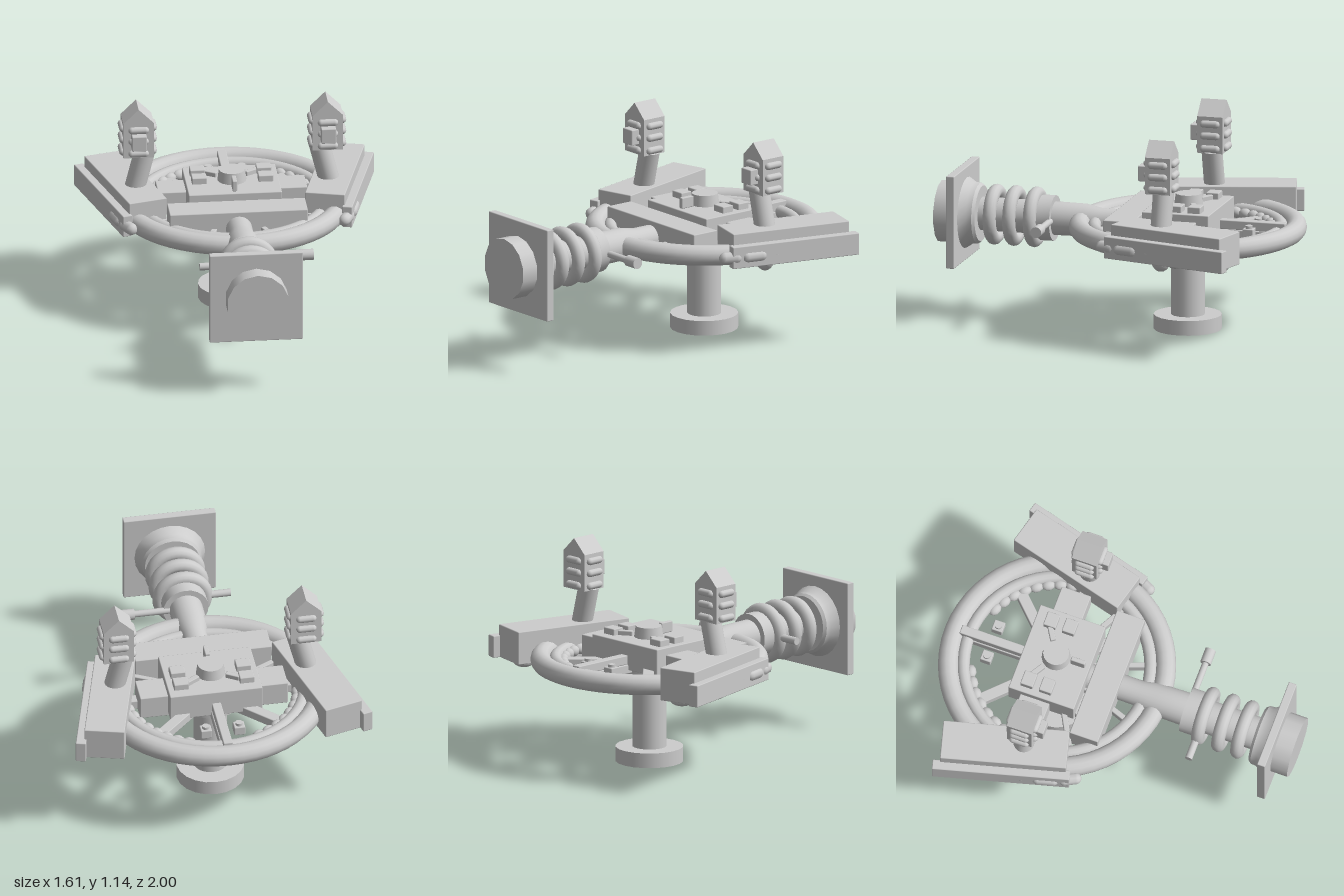
import * as THREE from 'three';
import { RoundedBoxGeometry } from 'three/addons/geometries/RoundedBoxGeometry.js';
import { toCreasedNormals } from 'three/addons/utils/BufferGeometryUtils.js';

const CY = 0.555; // height of the wheel plane and of the front pipe
const CZ = -0.365; // wheel centre

export function createModel() {
  const model = new THREE.Group();
  model.name = 'wheelStation';
  const metal = new THREE.MeshStandardMaterial({ color: 0xcccccc });
  metal.name = 'light grey metal';

  const add = (parent, name, geometry, x = 0, y = 0, z = 0) => {
    const mesh = new THREE.Mesh(geometry, metal);
    mesh.name = name;
    mesh.position.set(x, y, z);
    parent.add(mesh);
    return mesh;
  };
  const box = (w, h, d) => new RoundedBoxGeometry(w, h, d, 1, 0.005);
  const cyl = (r, h, sides = 24, r2 = r) => new THREE.CylinderGeometry(r2, r, h, sides);
  const capsule = (r, length) => new THREE.CapsuleGeometry(r, length, 4, 10);
  // Cylinder between two points
  const rod = (parent, name, a, b, r, sides = 16) => {
    const from = new THREE.Vector3(...a), dir = new THREE.Vector3(...b).sub(from);
    const mesh = add(parent, name, cyl(r, dir.length(), sides));
    mesh.position.copy(from).addScaledVector(dir, 0.5);
    mesh.quaternion.setFromUnitVectors(new THREE.Vector3(0, 1, 0), dir.normalize());
    return mesh;
  };

  // Pedestal
  add(model, 'pedestalBase', cyl(0.182, 0.08, 20), 0, 0.04, CZ);
  add(model, 'pedestalColumn', cyl(0.091, 0.44, 20), 0, 0.29, CZ);

  // Wheel: two rings, rear beads, spokes and hub
  const wheel = new THREE.Group();
  wheel.name = 'wheel';
  wheel.position.set(0, CY, CZ);
  model.add(wheel);
  add(wheel, 'outerRing', new THREE.TorusGeometry(0.58, 0.055, 14, 56)).rotation.x = Math.PI / 2;
  add(wheel, 'innerRing', new THREE.TorusGeometry(0.5, 0.035, 12, 56)).rotation.x = Math.PI / 2;
  for (const s of [-1, 1]) {
    for (let i = 0; i < 8; i++) {
      const a = s * (0.42 + i * 0.14);
      const bead = add(wheel, 'ringBead', new THREE.SphereGeometry(0.03, 10, 8),
        Math.sin(a) * 0.46, -0.01, -Math.cos(a) * 0.46);
      bead.rotation.y = -a;
      bead.scale.x = 1.3;
    }
  }
  const spoke = (degrees, width) => {
    const arm = new THREE.Group();
    arm.name = 'spoke';
    arm.rotation.y = THREE.MathUtils.degToRad(degrees);
    add(arm, 'spokeBar', box(width, 0.05, 0.45), 0, -0.02, -0.275);
    wheel.add(arm);
  };
  for (let i = 0; i < 8; i++) spoke(i * 45, 0.06);
  for (const d of [-118, 118, -160, 160]) spoke(d, 0.03);
  add(wheel, 'hub', cyl(0.16, 0.06, 24), 0, -0.035, 0);
  add(wheel, 'backRail', box(0.05, 0.05, 0.42), 0, 0.03, -0.335);
  for (const s of [-1, 1]) {
    add(wheel, 'lampBlock', box(0.06, 0.05, 0.06), s * 0.09, 0.01, -0.365);
    add(wheel, 'lamp', cyl(0.02, 0.02, 12), s * 0.09, 0.04, -0.365);
  }

  // Central console with its controls
  add(model, 'crossBlock', box(0.8, 0.13, 0.165), 0, 0.575, -0.4);
  add(model, 'console', box(0.5, 0.15, 0.37), 0, 0.605, CZ);
  add(model, 'frontBeam', box(0.74, 0.165, 0.16), 0, 0.567, -0.08);
  add(model, 'consoleDome', cyl(0.078, 0.06, 16, 0.07), 0, 0.71, -0.37);
  add(model, 'consoleLever', box(0.025, 0.06, 0.08), 0, 0.71, -0.245);
  for (const s of [-1, 1]) {
    for (const z of [-0.46, -0.355]) add(model, 'consoleButton', box(0.08, 0.04, 0.07), s * 0.178, 0.695, z);
    add(model, 'consoleSwitch', box(0.08, 0.03, 0.03), s * 0.11, 0.69, -0.435).rotation.y = s * 0.55;
  }

  // Front pipe, turned about the z axis: [radius, z]
  const turned = (name, points, sides = 24) => {
    const profile = points.map(([r, z]) => new THREE.Vector2(r, z));
    const geometry = toCreasedNormals(new THREE.LatheGeometry(profile, sides), 0.6);
    add(model, name, geometry, 0, CY, 0).rotation.x = Math.PI / 2;
  };
  turned('frontPipe', [[0, -0.2], [0.07, -0.2], [0.07, 0.11], [0.088, 0.2], [0.09, 0.37],
    [0.122, 0.37], [0.122, 0.45], [0.09, 0.45], [0.09, 0.8]]);
  turned('pipeFlange', [[0.09, 0.775], [0.15, 0.775], [0.163, 0.79], [0.165, 0.82], [0.195, 0.865], [0, 0.865]]);
  for (const z of [0.478, 0.592, 0.7]) {
    add(model, 'pipeRing', new THREE.TorusGeometry(0.127, 0.036, 12, 32), 0, CY, z);
  }
  add(model, 'endPlate', box(0.5, 0.505, 0.045), 0, 0.552, 0.882);
  add(model, 'endDisc', cyl(0.167, 0.1, 14), 0, CY, 0.95).rotation.x = Math.PI / 2;
  add(model, 'pipeFoot', box(0.12, 0.08, 0.11), 0, 0.49, -0.115);
  // Handles on the pipe
  rod(model, 'leftHandleRod', [0.08, CY, 0.375], [0.3, CY, 0.375], 0.018);
  rod(model, 'leftHandleGrip', [0.28, CY, 0.375], [0.36, CY, 0.375], 0.03);
  rod(model, 'rightHandle', [-0.08, CY, 0.475], [-0.26, CY, 0.475], 0.02);

  // Gabled head outline
  const gable = new THREE.Shape([[-0.082, 0], [0.082, 0], [0.082, 0.2], [0, 0.28], [-0.082, 0.2]]
    .map(([x, y]) => new THREE.Vector2(x, y)));
  const headGeometry = new THREE.ExtrudeGeometry(gable, { depth: 0.14, bevelEnabled: false });

  // Side arms splayed towards the back, with slanted posts and heads
  for (const s of [-1, 1]) {
    const side = s > 0 ? 'left' : 'right';
    const arm = new THREE.Group();
    arm.name = side + 'Arm';
    arm.position.set(s * 0.561, 0, -0.457);
    arm.rotation.y = -s * 0.262;
    model.add(arm);
    add(arm, 'armBody', box(0.215, 0.18, 0.675), 0, 0.59, 0);
    add(arm, 'armRail', box(0.055, 0.12, 0.735), s * 0.123, 0.56, -0.01);
    // Row of swellings under the arm
    for (let i = 0; i < 5; i++) {
      add(arm, 'underBump', new THREE.SphereGeometry(1, 14, 10), -s * 0.02, 0.495, 0.1 - i * 0.09)
        .scale.set(0.065, i ? 0.046 - i * 0.004 : 0.07, 0.052);
    }
    // Grips around the outer ring
    for (const [degrees, length] of [[64, 0.06], [75.5, 0.08], [90, 0.07]]) {
      const a = THREE.MathUtils.degToRad(degrees);
      const grip = add(model, 'ringGrip', capsule(0.033, length),
        s * Math.sin(a) * 0.65, CY, CZ + Math.cos(a) * 0.65);
      grip.rotation.set(Math.PI / 2, 0, s * (Math.PI / 2 - a));
    }
    rod(model, side + 'Post', [s * 0.535, 0.6, CZ], [s * 0.466, 0.875, CZ], 0.056, 20);

    const head = new THREE.Group();
    head.name = side + 'Head';
    head.position.set(s * 0.507, 0.86, CZ);
    model.add(head);
    add(head, 'headBlock', headGeometry, 0, 0, -0.07);
    add(head, 'headPanel', box(0.08, 0.085, 0.06), 0, 0.1, 0.09);
    for (const y of [0.025, 0.095, 0.16]) {
      for (const f of [-1, 1]) {
        add(head, 'headRib', capsule(0.02, 0.07), 0, y, f * 0.07).rotation.z = Math.PI / 2;
        add(head, 'headRib', capsule(0.02, 0.07), f * 0.082, y, 0).rotation.x = Math.PI / 2;
      }
    }
  }
  return model;
}
